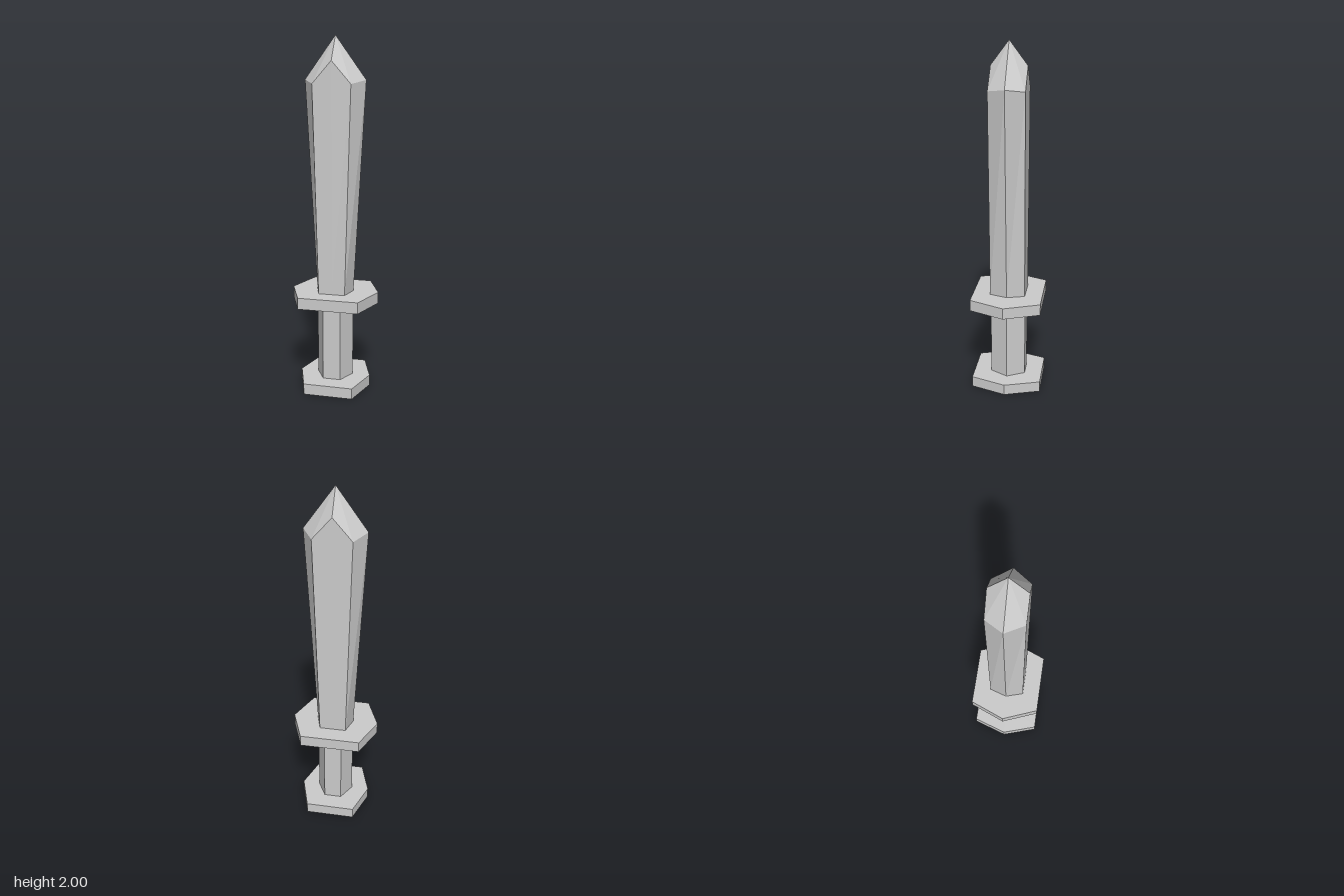
import * as THREE from 'three';

const material = new THREE.MeshStandardMaterial({ color: 0xcccccc, flatShading: true });

// Six-sided section with a midpoint on each broad face: side point at `outer`,
// bevel corners at `inner`, half depth z. Side, corner and middle may differ in height.
function section(outer, inner, z, ySide, yCorner = ySide, yMid = yCorner) {
  return [
    [outer, ySide, 0], [inner, yCorner, z], [0, yMid, z], [-inner, yCorner, z],
    [-outer, ySide, 0], [-inner, yCorner, -z], [0, yMid, -z], [inner, yCorner, -z],
  ];
}

// Skin consecutive sections and close both ends
function loft(name, sections) {
  const pos = [];
  const tri = (...points) => points.forEach((p) => pos.push(...p));
  const first = sections[0];
  const last = sections[sections.length - 1];
  const n = first.length;
  for (let i = 0; i < n; i++) {
    const j = (i + 1) % n;
    for (let s = 0; s < sections.length - 1; s++) {
      const low = sections[s];
      const high = sections[s + 1];
      tri(low[i], high[i], low[j]);
      if (high[i][0] !== high[j][0] || high[i][2] !== high[j][2]) tri(high[i], high[j], low[j]);
    }
    tri([0, first[0][1], 0], first[i], first[j]);
    if (last[0][0] > 0) tri([0, last[0][1], 0], last[j], last[i]);
  }
  const geometry = new THREE.BufferGeometry();
  geometry.setAttribute('position', new THREE.Float32BufferAttribute(pos, 3));
  geometry.computeVertexNormals();
  const mesh = new THREE.Mesh(geometry, material);
  mesh.name = name;
  return mesh;
}

const prism = (name, outer, inner, z, y0, y1) =>
  loft(name, [section(outer, inner, z, y0), section(outer, inner, z, y1)]);

export function createModel() {
  const sword = new THREE.Group();
  sword.name = 'sword';

  // Handle
  sword.add(prism('pommel', 0.205, 0.14, 0.2, 0, 0.063));
  sword.add(prism('grip', 0.104, 0.05, 0.1, 0.063, 0.512));
  sword.add(prism('guard', 0.25, 0.17, 0.2, 0.512, 0.577));

  // Blade widens upward, then its bevels meet at a point
  const apex = Array.from({ length: 8 }, () => [0, 2, 0]);
  sword.add(loft('blade', [
    section(0.106, 0.075, 0.1, 0.577),
    section(0.17, 0.106, 0.1, 1.765, 1.747, 1.868),
    apex,
  ]));

  return sword;
}
